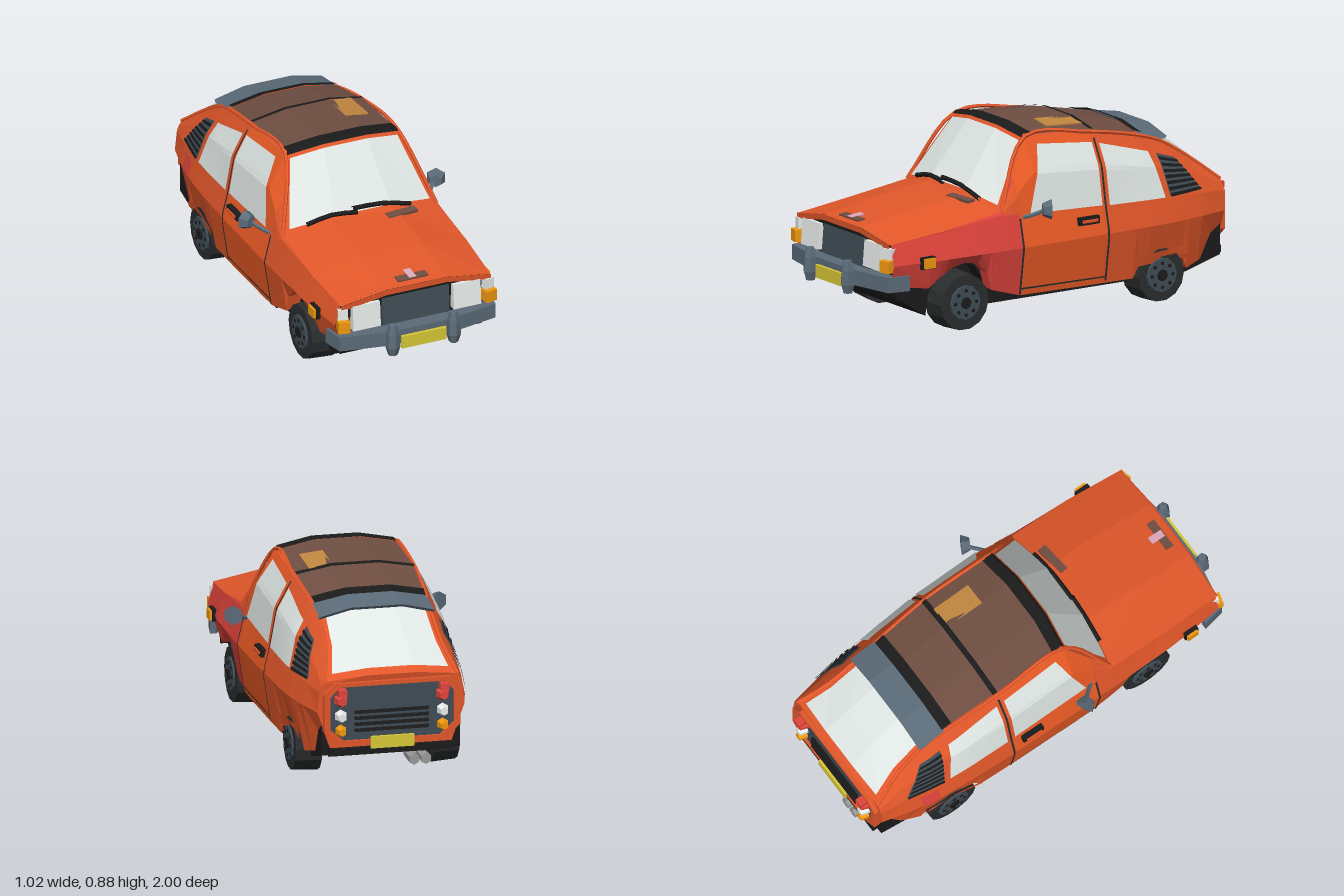
import * as THREE from 'three';

const C = { body: 0xe2572a, door: 0xea5a25, red: 0xe0443c, black: 0x1b1b1b, dark: 0x2a2d2e, slate: 0x5b6b78,
  grille: 0x3f4c55, glass: 0xdfe6e3, brown: 0x6f4e42, wood: 0xc2873f, amber: 0xf0980f, yellow: 0xd8c837, lamp: 0xe8ecea, tail: 0xe0453c, pink: 0xe0a8bc };

// Stations: z, creaseX, beltX, beltY, topX, topY, crown, bow
const S = [
  [0.88, 0.395, 0.37, 0.465, 0.37, 0.465, 0.04, 0.01],
  [0.6, 0.42, 0.385, 0.49, 0.385, 0.495, 0.052, 0.02],
  [0.29, 0.425, 0.39, 0.525, 0.378, 0.54, 0.04, 0.04],
  [0.1, 0.425, 0.39, 0.505, 0.278, 0.838, 0.028, 0.02],
  [-0.25, 0.42, 0.39, 0.49, 0.28, 0.815, 0.03, 0],
  [-0.5, 0.412, 0.385, 0.48, 0.265, 0.765, 0.03, 0],
  [-0.65, 0.4, 0.375, 0.475, 0.255, 0.715, 0.03, 0],
  [-0.8, 0.375, 0.355, 0.47, 0.265, 0.62, 0.03, -0.01],
  [-0.94, 0.34, 0.33, 0.465, 0.305, 0.51, 0.02, -0.01]];
// Lower edge of the body sides, with wheel arches: z, y
const EDGE = [[0.88, 0.27], [0.68, 0.24], [0.63, 0.28], [0.56, 0.32], [0.49, 0.335], [0.42, 0.32], [0.37, 0.27],
  [0.35, 0.19], [0.2, 0.145], [-0.42, 0.135], [-0.46, 0.2], [-0.58, 0.235], [-0.7, 0.2], [-0.73, 0.135], [-0.94, 0.19]];

function at(table, z) {
  let i = 0;
  while (i < table.length - 2 && z < table[i + 1][0]) i++;
  const a = table[i], b = table[i + 1], t = (a[0] - z) / (a[0] - b[0]);
  return a.map((v, k) => v + (b[k] - v) * t);
}
const zs = (tables, z0, z1) => [...new Set([z0, z1, ...tables.flat().map(r => r[0]).filter(z => z < z0 && z > z1)])].sort((a, b) => b - a);

// Half cross-section from the sill lip up to the roof edge
function section(z) {
  const [, cx, bx, by, tx, ty] = at(S, z), y0 = at(EDGE, z)[1];
  const mx = bx + (tx - bx) * 0.55 + (ty - by) * 0.09, my = by + (ty - by) * 0.55;
  const tuck = 0.035 + Math.max(0, -0.7 - z) * 0.12;
  return [[cx - 0.1, y0 + 0.005], [cx - tuck, y0], [cx, Math.max(0.37, y0 + 0.02)], [bx, by], [mx, my], [tx, ty]];
}
function sideX(z, y) {
  const p = section(z).slice(1);
  let i = 0;
  while (i < 3 && y > p[i + 1][1]) i++;
  const d = p[i + 1][1] - p[i][1];
  return p[i][0] + (p[i + 1][0] - p[i][0]) * (d > 1e-4 ? (y - p[i][1]) / d : 0);
}

export function createModel() {
  const g = new THREE.Group();
  const mats = {};
  const mat = c => mats[c] ??= new THREE.MeshStandardMaterial({ color: c, flatShading: true, side: THREE.DoubleSide });
  const add = (name, color, geo, pos = [0, 0, 0], rot = [0, 0, 0]) => {
    const m = new THREE.Mesh(geo, mat(color));
    m.name = name; m.position.set(...pos); m.rotation.set(...rot);
    g.add(m);
    return m;
  };
  const box = (name, color, size, pos, rot) => add(name, color, new THREE.BoxGeometry(...size), pos, rot);
  const tube = (name, color, pts, r, n = 6) => add(name, color,
    new THREE.TubeGeometry(new THREE.CatmullRomCurve3(pts.map(p => new THREE.Vector3(...p))), n, r, 5));
  const shape = pts => new THREE.Shape(pts.map(p => new THREE.Vector2(...p)));
  const extrude = (sh, depth) => new THREE.ExtrudeGeometry(sh, { depth, bevelEnabled: false });
  // Surface through rows of points
  const grid = (name, color, rows, flip) => {
    const n = rows[0].length, idx = [];
    for (let i = 0; i < rows.length - 1; i++) for (let j = 0; j < n - 1; j++) {
      const a = i * n + j, b = a + 1, c = a + n, d = c + 1;
      idx.push(...(flip ? [a, b, c, b, d, c] : [a, c, b, b, c, d]));
    }
    const geo = new THREE.BufferGeometry();
    geo.setAttribute('position', new THREE.Float32BufferAttribute(rows.flat(2), 3));
    geo.setIndex(idx);
    geo.computeVertexNormals();
    return add(name, color, geo);
  };
  // Patch lying on the body side; corners in (z, y): bottom front, bottom rear, top rear, top front
  const patch = (name, color, s, q, off = 0.005, n = 4, m = 4) => {
    const rows = [];
    for (let i = 0; i <= n; i++) {
      const row = [];
      for (let j = 0; j <= m; j++) {
        const u = i / n, v = j / m;
        const [z, y] = [0, 1].map(k => (q[0][k] * (1 - u) + q[1][k] * u) * (1 - v) + (q[3][k] * (1 - u) + q[2][k] * u) * v);
        row.push([s * (sideX(z, y) + off), y, z]);
      }
      rows.push(row);
    }
    return grid(name, color, rows, s > 0);
  };
  // Crowned panel spanning the car between the top edges
  const topRow = (z, w = 1, up = 0, dz = 0) => {
    const [, , , , tx, ty, crown, bow] = at(S, z);
    return [-1, -0.4, 0.4, 1].map(u => {
      const k = Math.abs(u) < 1 ? 1 : 1 - w;
      return [u * tx * w, ty + crown * k + up, z + bow * k + dz];
    });
  };
  const across = (name, color, z0, z1, w, up, dz) => grid(name, color, zs([S], z0, z1).map(z => topRow(z, w, up, dz)));

  // Bodywork on top
  across('hood', C.body, 0.885, 0.29);
  across('windscreenFrame', C.body, 0.29, 0.1);
  across('roof', C.body, 0.1, -0.62);
  across('tailgate', C.body, -0.62, -0.94);
  across('windscreen', C.glass, 0.28, 0.113, 0.93, 0.005, 0.006);
  across('rearWindow', C.glass, -0.63, -0.915, 0.9, 0.008, -0.006);
  across('sunroof', C.brown, 0.06, -0.52, 0.97, 0.009);
  across('roofBarFront', C.black, 0.11, 0.05, 0.97, 0.014);
  across('roofBarMiddle', C.black, -0.255, -0.28, 0.98, 0.014);
  across('roofBarRear', C.black, -0.5, -0.55, 0.98, 0.018);
  box('roofPatch', C.wood, [0.11, 0.006, 0.19], [0.155, 0.851, -0.165], [-0.07, 0, -0.1]);

  // Rear spoiler
  const wing = [[-0.53, 0.762], [-0.68, 0.735], [-0.67, 0.722], [-0.58, 0.735], [-0.53, 0.762]];
  grid('spoiler', C.slate, [-1, -0.45, 0.45, 1].map(u => wing.map(([z, y]) =>
    [u * 0.265, y + (Math.abs(u) < 1 ? 0.035 : 0), z])), true);

  for (const s of [1, -1]) {
    // Body sides
    const side = (name, color, z0, z1) => grid(name, color,
      zs([S, EDGE], z0, z1).map(z => section(z).map(([x, y]) => [s * x, y, z])), s > 0);
    side('frontFender', s > 0 ? C.red : C.body, 0.88, 0.2);
    side('door', C.door, 0.2, -0.25);
    side('rearQuarter', C.body, -0.25, -0.94);
    patch('aPillar', C.body, s, [[0.285, 0.528], [0.2, 0.52], [0.2, 0.67], [0.285, 0.545]], 0.004);
    tube('roofRail', C.body, S.slice(2).map(r => [s * r[4], r[5], r[0]]), 0.009, 24);
    patch('frontSideWindow', C.glass, s, [[0.145, 0.515], [-0.245, 0.5], [-0.245, 0.775], [0.045, 0.805]], 0.008, 4, 12);
    patch('rearSideWindow', C.glass, s, [[-0.285, 0.495], [-0.595, 0.485], [-0.55, 0.69], [-0.285, 0.765]], 0.008, 6, 12);
    const q = [[-0.625, 0.485], [-0.81, 0.49], [-0.7, 0.64], [-0.595, 0.675]];
    patch('louvrePanel', C.grille, s, q, 0.006, 4, 8);
    for (let i = 0; i < 7; i++) {
      const mix = (a, b, t) => [a[0] + (b[0] - a[0]) * t, a[1] + (b[1] - a[1]) * t];
      const v = i / 7, w = v + 0.08;
      patch('louvreSlat', C.black, s, [mix(q[0], q[3], v), mix(q[1], q[2], v), mix(q[1], q[2], w), mix(q[0], q[3], w)], 0.012, 2, 1);
    }
    // Seams, trim and handles
    for (const [z, top] of [[0.2, 0.5], [-0.265, 0.79]])
      patch('doorSeam', C.dark, s, [[z + 0.005, 0.15], [z - 0.005, 0.15], [z - 0.005, top], [z + 0.005, top]], 0.004, 1, 16);
    patch('sillSeam', C.dark, s, [[0.2, 0.172], [-0.26, 0.165], [-0.26, 0.172], [0.2, 0.18]], 0.004, 4, 1);
    patch('wheelFlare', C.body, s, [[-0.43, 0.19], [-0.74, 0.19], [-0.7, 0.25], [-0.43, 0.235]], 0.012);
    box('doorHandle', C.black, [0.025, 0.035, 0.11], [s * 0.41, 0.445, -0.16]);
    box('handleGrip', C.body, [0.012, 0.012, 0.08], [s * 0.425, 0.445, -0.16]);
    box('sideIndicator', C.amber, [0.03, 0.045, 0.055], [s * 0.422, 0.37, 0.71]);
    box('indicatorBase', C.black, [0.02, 0.055, 0.07], [s * 0.415, 0.37, 0.71]);
    // Mirrors
    tube('mirrorArm', C.slate, [[s * 0.385, 0.5, 0.18], [s * 0.42, 0.515, 0.14], [s * 0.455, 0.54, 0.1]], 0.01, 3);
    add('mirrorHead', C.slate, new THREE.CylinderGeometry(0.03, 0.047, 0.04, 6), [s * 0.465, 0.543, 0.1], [Math.PI / 2, 0, s * 0.5]);
    // Front lamps
    box('headlight', C.lamp, [0.135, 0.12, 0.04], [s * 0.248, 0.394, 0.88], [-0.08, 0, 0]);
    box('cornerLamp', C.lamp, [0.045, 0.05, 0.06], [s * 0.355, 0.423, 0.865], [0, s * 0.25, 0]);
    box('frontIndicator', C.amber, [0.055, 0.055, 0.06], [s * 0.358, 0.367, 0.885], [0, s * 0.25, 0]);
    const bulge = [[0, -0.077], [0.022, -0.075], [0.034, -0.035], [0.03, 0.03], [0.019, 0.075], [0, 0.077]];
    add('overrider', C.slate, new THREE.LatheGeometry(bulge.map(p => new THREE.Vector2(...p)), 6), [s * 0.15, 0.288, 0.965]);
    // Tail lamps
    for (const [c, y, r] of [[C.tail, 0.425, 0.036], [C.lamp, 0.35, 0.032], [C.amber, 0.282, 0.03]])
      add('tailLamp', c, new THREE.CylinderGeometry(r, r * 0.6, 0.045, 6), [s * 0.235, y, -0.968], [Math.PI / 2, 0, 0]);
    box('upperTailLamp', C.tail, [0.04, 0.03, 0.045], [s * 0.235, 0.465, -0.975]);
    // Wheels
    for (const [x, y, z, r] of [[0.325, 0.15, 0.49, 0.135], [0.318, 0.13, -0.575, 0.13]]) {
      const rot = [0, 0, -s * Math.PI / 2];
      add('tyre', C.dark, new THREE.CylinderGeometry(r * 0.94, r, 0.12, 14), [s * x, y, z], rot);
      add('rim', C.grille, new THREE.CylinderGeometry(0.078, 0.085, 0.02, 12), [s * (x + 0.058), y, z], rot);
      add('hub', C.black, new THREE.CylinderGeometry(0.025, 0.032, 0.02, 8), [s * (x + 0.066), y, z], rot);
      for (let i = 0; i < 8; i++) {
        const a = i * Math.PI / 4;
        add('rimHole', C.black, new THREE.CylinderGeometry(0.009, 0.009, 0.006, 6), [s * (x + 0.068), y + 0.056 * Math.sin(a), z + 0.056 * Math.cos(a)], rot);
      }
    }
  }
  patch('fuelFlap', C.red, -1, [[-0.66, 0.38], [-0.75, 0.38], [-0.75, 0.46], [-0.66, 0.46]], 0.01);

  // Nose
  const nose = topRow(0.87);
  grid('noseMask', C.black, [nose, nose.map(([x]) => [x * 1.02, 0.27, 0.86])]);
  box('grille', C.grille, [0.33, 0.13, 0.03], [0, 0.39, 0.873], [-0.08, 0, 0]);
  grid('hoodLip', C.body, [topRow(0.885, 1, 0.002, 0.005), topRow(0.885, 1, -0.025, 0.003)]);
  box('hoodCatch', C.brown, [0.15, 0.01, 0.04], [0, 0.514, 0.84], [0.1, 0, 0]);
  box('hoodStrip', C.pink, [0.035, 0.012, 0.07], [0, 0.517, 0.82], [0.1, 0, 0]);
  box('hoodVent', C.brown, [0.15, 0.012, 0.04], [0.17, 0.572, 0.37], [0.1, 0.12, -0.03]);
  tube('wiper', C.black, [[-0.27, 0.58, 0.31], [-0.15, 0.608, 0.32], [-0.03, 0.6, 0.33]], 0.011, 4);
  tube('wiper', C.black, [[-0.05, 0.618, 0.32], [0.1, 0.613, 0.322], [0.24, 0.576, 0.315]], 0.011, 4);

  // Front bumper, drawn in plan
  const half = [[0.405, 0.8], [0.385, 0.905], [0.15, 0.95]];
  const inner = [[0.15, 0.88], [0.35, 0.85], [0.375, 0.8]];
  const mirrored = pts => pts.map(([x, y]) => [-x, y]).reverse();
  const plan = [...half, ...mirrored(half), ...mirrored(inner), ...inner];
  add('frontBumper', C.slate, extrude(shape(plan.map(([x, z]) => [x, -z])), 0.07).rotateX(-Math.PI / 2), [0, 0.25, 0]);
  box('frontPlate', C.yellow, [0.22, 0.06, 0.015], [0.005, 0.262, 0.96]);

  // Tail
  const rear = section(-0.94).slice(1);
  grid('tailPanel', C.body, rear.map(([x, y], i) => i === 4 ? topRow(-0.94) : [-1, -0.4, 0.4, 1].map(u => [u * x, y, -0.94])));
  const tailHalf = [[0.22, 0.235], [0.285, 0.29], [0.285, 0.44], [0.24, 0.485]];
  const inset = [...tailHalf, ...mirrored(tailHalf)];
  add('tailInset', C.grille, extrude(shape(inset), 0.01), [0, 0, -0.951]);
  const frame = shape(inset.map(([x, y]) => [x * 1.1, 0.36 + (y - 0.36) * 1.15]));
  frame.holes.push(shape(inset));
  add('tailFrame', C.body, extrude(frame, 0.03), [0, 0, -0.963]);
  for (let i = 0; i < 4; i++) box('tailSlat', C.black, [0.34, 0.016, 0.015], [0, 0.28 + i * 0.028, -0.957], [0.3, 0, 0]);
  box('rearPlate', C.yellow, [0.2, 0.055, 0.015], [0, 0.222, -0.965]);
  box('rearBumper', C.black, [0.58, 0.035, 0.05], [0, 0.182, -0.93]);

  // Underbody with wheel arches
  const prof = [[0.86, 0.36], [0.845, 0.22], [0.66, 0.1], [0.645, 0.2], [0.58, 0.3], [0.49, 0.32], [0.4, 0.3], [0.335, 0.2], [0.32, 0.11],
    [-0.41, 0.11], [-0.43, 0.2], [-0.5, 0.28], [-0.65, 0.28], [-0.72, 0.2], [-0.74, 0.11], [-0.93, 0.165], [-0.93, 0.36]];
  add('underbody', C.black, extrude(shape(prof), 0.64).rotateY(-Math.PI / 2), [0.32, 0, 0]);
  box('floorPan', C.black, [0.5, 0.22, 1.44], [0, 0.225, -0.07]);
  box('sillFloor', C.black, [0.74, 0.03, 0.6], [0, 0.14, -0.1]);
  box('frontValance', C.black, [0.7, 0.07, 0.05], [0, 0.235, 0.82], [0.4, 0, 0]);
  box('sumpGuard', C.dark, [0.26, 0.04, 0.25], [-0.06, 0.09, 0.35], [0, 0, 0.07]);
  box('muffler', C.dark, [0.16, 0.05, 0.18], [0.02, 0.08, -0.21]);
  for (const z of [0.49, -0.575]) box('axle', C.dark, [0.56, 0.035, 0.035], [0, 0.135, z]);
  tube('exhaustPipe', C.brown, [[0.14, 0.15, 0.7], [0.21, 0.1, 0.4], [0.12, 0.09, 0.1], [0.02, 0.085, -0.2], [-0.1, 0.1, -0.55], [-0.12, 0.13, -0.85]], 0.014, 14);
  for (const x of [-0.1, -0.155])
    add('exhaustTip', 0x9a9a9a, new THREE.CylinderGeometry(0.026, 0.022, 0.12, 6), [x, 0.13, -0.91], [-Math.PI / 2, 0, 0]);
  return g;
}
